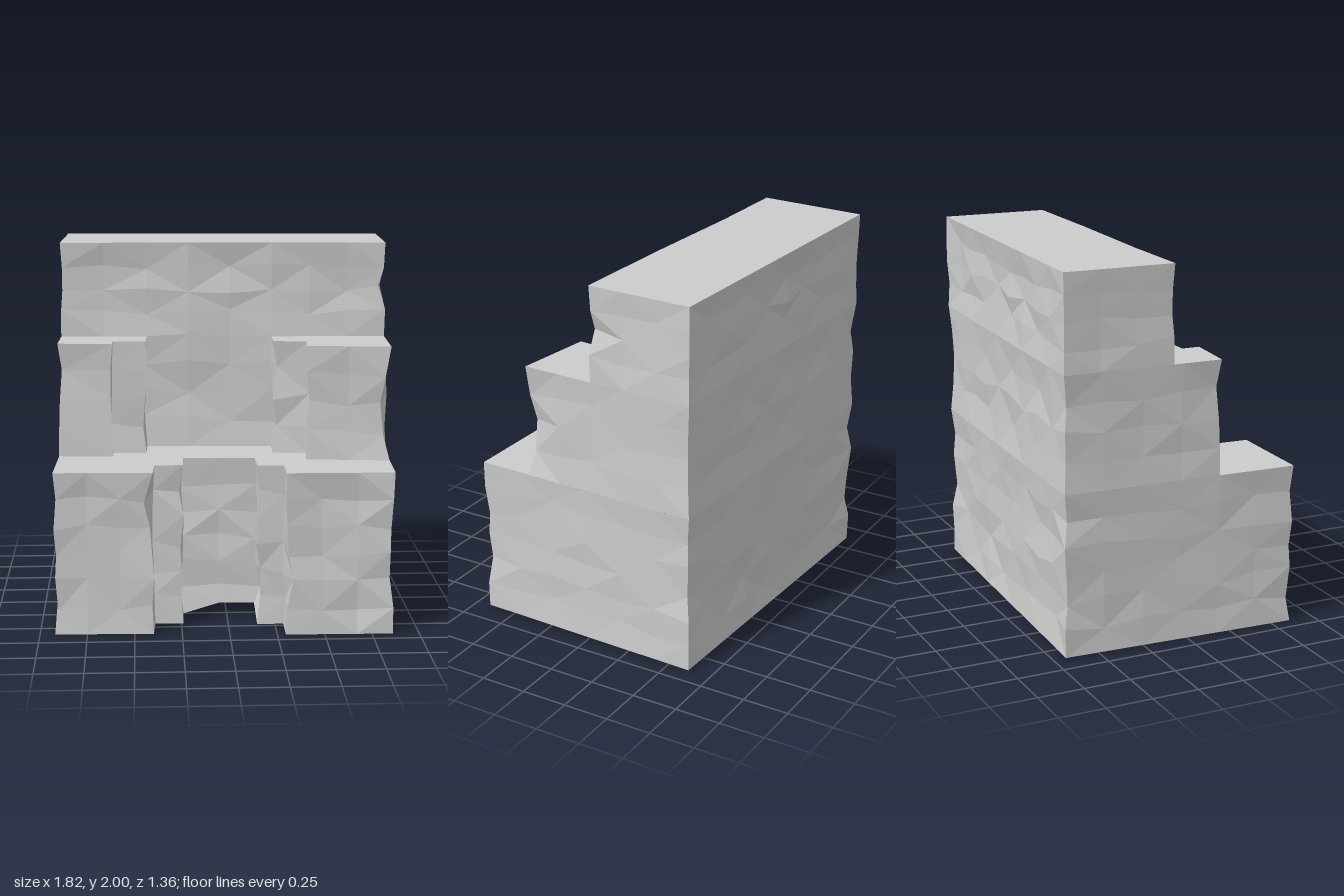
import * as THREE from 'three';

const material = new THREE.MeshStandardMaterial({
  color: 0xcccccc, flatShading: true, side: THREE.DoubleSide,
});

// Tier heights
const LOWER = 0.87;
const MIDDLE = 1.485;
const TOP = 2;

// Front outlines of the three tiers in plan (x, z), from -x to +x
const lowerFront = [[-0.92, 0.61], [-0.4, 0.62], [-0.39, 0.44], [-0.24, 0.44], [-0.235, 0.255],
  [0.15, 0.27], [0.155, 0.47], [0.295, 0.47], [0.295, 0.665], [0.86, 0.67]];
const middleFront = [[-0.903, 0.18], [-0.61, 0.205], [-0.61, 0.105], [-0.43, 0.11], [-0.425, -0.08],
  [0.26, -0.05], [0.26, 0.135], [0.44, 0.16], [0.425, 0.32], [0.869, 0.37]];
const upperFront = [[-0.893, -0.085], [-0.425, -0.08], [0.26, -0.05], [0.882, -0.035]];
const back = [[-0.87, -0.68], [0.9, -0.62]];

// Dents in the corner edges: corner x, z, height, then shift in x and z
const dents = [
  [-0.4, 0.62, 0.73, -0.03, 0], [0.295, 0.665, 0.29, 0.04, 0], [0.15, 0.27, 0.145, 0.025, 0],
  [0.869, 0.37, 1.18, -0.045, -0.02], [0.869, 0.37, 1.33, -0.025, 0], [0.869, 0.37, 1.02, -0.02, -0.01],
  [0.86, 0.67, 0.73, -0.01, 0], [0.86, 0.67, 0.435, -0.015, 0], [0.882, -0.035, 1.74, -0.025, 0],
];

// Repeatable noise in -1..1, tied to position so that neighbouring walls meet
function noise(x, y, z, k) {
  const s = Math.sin(x * 127.1 + y * 311.7 + z * 74.7 + k * 53.3) * 43758.5453;
  return 2 * (s - Math.floor(s)) - 1;
}

// Rough rock vertex, pushed along the wall normal; tier rims stay straight
function rockPoint({ x, z, nx, nz, bias }, y, onRim) {
  // the middle recess runs into the upper wall without a ledge
  const open = Math.abs(y - MIDDLE) < 0.001 && x > -0.42 && x < 0.25 && z > -0.1 && z < 0;
  if (onRim && !open) {
    // the lower recess wall stops just above the ground
    const lifted = y === 0 && x > -0.1 && x < 0.16 && z > 0.2 && z < 0.28;
    return [x, lifted ? 0.06 : y, z];
  }
  const push = bias + 0.012 * noise(x, y, z, 1);
  const dent = dents.find((d) => Math.hypot(d[0] - x, d[1] - z) < 0.01 && Math.abs(d[2] - y) < 0.05);
  return [
    x + nx * push + (dent ? dent[3] : 0),
    y + 0.022 * noise(x, y, z, 2),
    z + nz * push + (dent ? dent[4] : 0),
  ];
}

// Plan loop of one tier, cut into steps, each point with its outward normal
function planLoop(corners) {
  const n = corners.length;
  const edges = corners.map((a, i) => {
    const b = corners[(i + 1) % n];
    const dx = b[0] - a[0];
    const dz = b[1] - a[1];
    const length = Math.hypot(dx, dz);
    return { a, dx, dz, length, nx: -dz / length, nz: dx / length };
  });
  return edges.flatMap((e, i) => {
    const previous = edges[(i + n - 1) % n];
    const sideways = Math.abs(e.nx) > 0.9;
    const steps = Math.max(1, Math.round(e.length / 0.2));
    return Array.from({ length: steps }, (_, s) => {
      const t = s / steps;
      const point = { x: e.a[0] + e.dx * t, z: e.a[1] + e.dz * t };
      if (s > 0) {
        // faces are worn inwards, the sides less than the front and back
        const roughness = sideways ? 0.5 : 1;
        return { ...point, nx: e.nx * roughness, nz: e.nz * roughness, bias: -0.014 };
      }
      const nx = e.nx + previous.nx;
      const nz = e.nz + previous.nz;
      const straight = Math.hypot(nx, nz) > 1.8 ? 0.5 : 1;
      return { ...point, nx: nx * straight, nz: nz * straight, bias: -0.008 };
    });
  });
}

// Wall ring around one tier, in rows and columns of rough quads
function tierWalls(name, front, y0, y1, rows) {
  const path = planLoop([...front, back[1], back[0]]);
  const positions = [];
  const index = [];
  const n = path.length;
  for (let r = 0; r <= rows; r++) {
    const y = y0 + (y1 - y0) * r / rows;
    path.forEach((p) => positions.push(...rockPoint(p, y, r === 0 || r === rows)));
  }
  for (let r = 0; r < rows; r++) {
    for (let i = 0; i < n; i++) {
      const a = r * n + i;
      const b = r * n + (i + 1) % n;
      // alternate the diagonals
      if ((r + i) % 2) index.push(a, b, b + n, a, b + n, a + n);
      else index.push(a, b, a + n, b, b + n, a + n);
    }
  }
  const geometry = new THREE.BufferGeometry();
  geometry.setAttribute('position', new THREE.Float32BufferAttribute(positions, 3));
  geometry.setIndex(index);
  geometry.computeVertexNormals();
  const mesh = new THREE.Mesh(geometry, material);
  mesh.name = name;
  return mesh;
}

// Flat shelf between a front outline and the outline set behind it
function shelf(name, front, behind, y) {
  const outline = [...front, ...[...behind].reverse()];
  const shape = new THREE.Shape(outline.map(([x, z]) => new THREE.Vector2(x, -z)));
  const geometry = new THREE.ShapeGeometry(shape).rotateX(-Math.PI / 2).translate(0, y, 0);
  const mesh = new THREE.Mesh(geometry, material);
  mesh.name = name;
  return mesh;
}

export function createModel() {
  const cliff = new THREE.Group();
  cliff.name = 'steppedCliff';
  cliff.add(
    tierWalls('lowerWalls', lowerFront, 0, LOWER, 6),
    shelf('lowerShelf', lowerFront, middleFront, LOWER),
    tierWalls('middleWalls', middleFront, LOWER, MIDDLE, 4),
    // the recess splits the middle shelf in two
    shelf('middleShelfRight', middleFront.slice(0, 5), upperFront.slice(0, 1), MIDDLE),
    shelf('middleShelfLeft', middleFront.slice(5), upperFront.slice(3), MIDDLE),
    tierWalls('upperWalls', upperFront, MIDDLE, TOP, 4),
    shelf('summit', upperFront, back, TOP),
  );
  return cliff;
}
